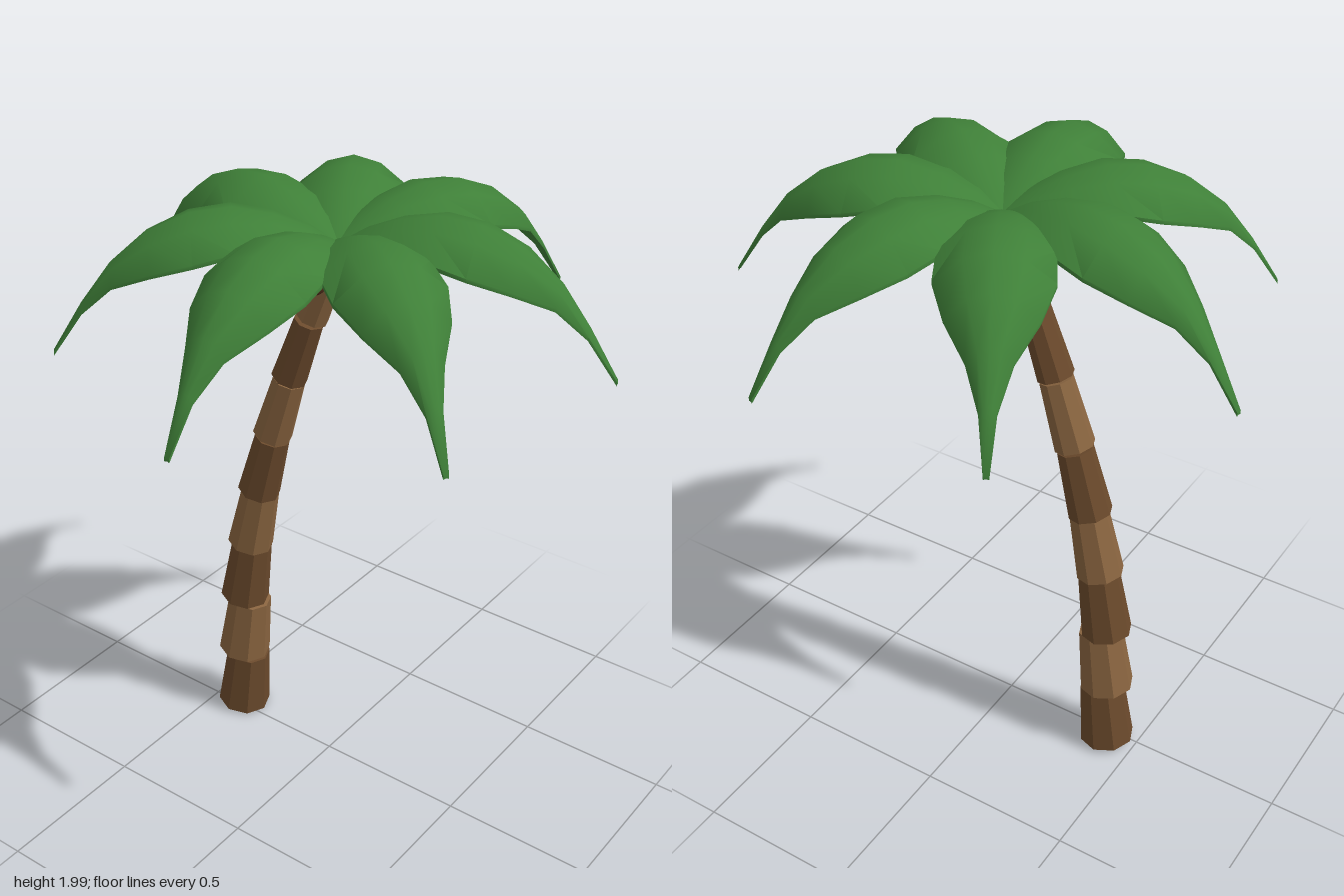
import * as THREE from 'three';
import { toCreasedNormals } from 'three/addons/utils/BufferGeometryUtils.js';

const FRONDS = 7;

// Stations along a frond: [distance, spine height, half width, edge droop]
const STATIONS = [
  [0.00, 1.870, 0.010, 0.000],
  [0.08, 1.922, 0.060, 0.012],
  [0.18, 1.965, 0.115, 0.040],
  [0.30, 1.992, 0.160, 0.075],
  [0.42, 1.980, 0.163, 0.090],
  [0.54, 1.930, 0.125, 0.080],
  [0.65, 1.840, 0.062, 0.045],
  [0.74, 1.720, 0.024, 0.015],
  [0.83, 1.575, 0.008, 0.003],
];

// Arched leaf pointing along +z, a thin closed skin through the stations
function frondGeometry() {
  const across = [-1, -0.5, 0, 0.5, 1];
  const pos = [], idx = [];
  for (const [r, y, w, droop] of STATIONS) {
    for (const s of across) pos.push(s * w, y - droop * s * s, r);
    for (const s of [...across].reverse()) pos.push(s * w, y - droop * s * s - 0.012, r);
  }
  const n = across.length * 2;
  const last = (STATIONS.length - 1) * n;
  for (let i = 0; i < STATIONS.length - 1; i++) {
    for (let j = 0; j < n; j++) {
      const a = i * n + j, b = i * n + (j + 1) % n;
      idx.push(a, a + n, b, b, a + n, b + n);
    }
  }
  for (let j = 1; j < n - 1; j++) idx.push(last, last + j + 1, last + j);
  const geo = new THREE.BufferGeometry();
  geo.setAttribute('position', new THREE.Float32BufferAttribute(pos, 3));
  geo.setIndex(idx);
  return toCreasedNormals(geo, 0.9);
}

export function createModel() {
  const model = new THREE.Group();
  model.name = 'palmTree';
  const bark = [0x6b4a2c, 0x8a6540].map(
    (color) => new THREE.MeshStandardMaterial({ color, flatShading: true }));
  const leafMat = new THREE.MeshStandardMaterial({ color: 0x3f8038, side: THREE.DoubleSide });
  const nutMat = new THREE.MeshStandardMaterial({ color: 0x5a3520 });

  // Leaning trunk of tapered segments: [base x, base y, base radius, lean in degrees]
  const trunk = new THREE.Group();
  trunk.name = 'trunk';
  const segments = [
    [-0.400, 0.015, 0.090, 7],
    [-0.390, 0.250, 0.088, 8],
    [-0.380, 0.480, 0.082, 9.5],
    [-0.348, 0.710, 0.076, 12.5],
    [-0.305, 0.930, 0.070, 15.5],
    [-0.243, 1.160, 0.064, 18],
    [-0.172, 1.385, 0.058, 20],
    [-0.082, 1.613, 0.051, 22],
  ];
  const length = 0.228;
  segments.forEach(([x, y, radius, lean], i) => {
    const geo = new THREE.CylinderGeometry(radius * 0.82, radius, length, 8);
    geo.translate(0, length / 2, 0);
    const segment = new THREE.Mesh(geo, bark[i % 2]);
    segment.name = `trunkSegment${i + 1}`;
    segment.position.set(x, y, -0.027);
    segment.rotation.z = -THREE.MathUtils.degToRad(lean);
    trunk.add(segment);
  });
  model.add(trunk);

  // Ring of drooping fronds
  const crown = new THREE.Group();
  crown.name = 'crown';
  crown.position.set(0.01, 0, -0.03);
  const leaf = frondGeometry();
  for (let i = 0; i < FRONDS; i++) {
    const frond = new THREE.Mesh(leaf, leafMat);
    frond.name = `frond${i + 1}`;
    frond.rotation.y = 0.072 + (i * Math.PI * 2) / FRONDS;
    crown.add(frond);
  }

  // Coconuts tucked around the trunk top
  const nut = new THREE.SphereGeometry(0.052, 16, 12);
  for (let i = 0; i < 3; i++) {
    const a = (i * Math.PI * 2) / 3;
    const coconut = new THREE.Mesh(nut, nutMat);
    coconut.name = `coconut${i + 1}`;
    coconut.position.set(Math.cos(a) * 0.082, 1.776, Math.sin(a) * 0.082);
    crown.add(coconut);
  }
  model.add(crown);
  return model;
}
